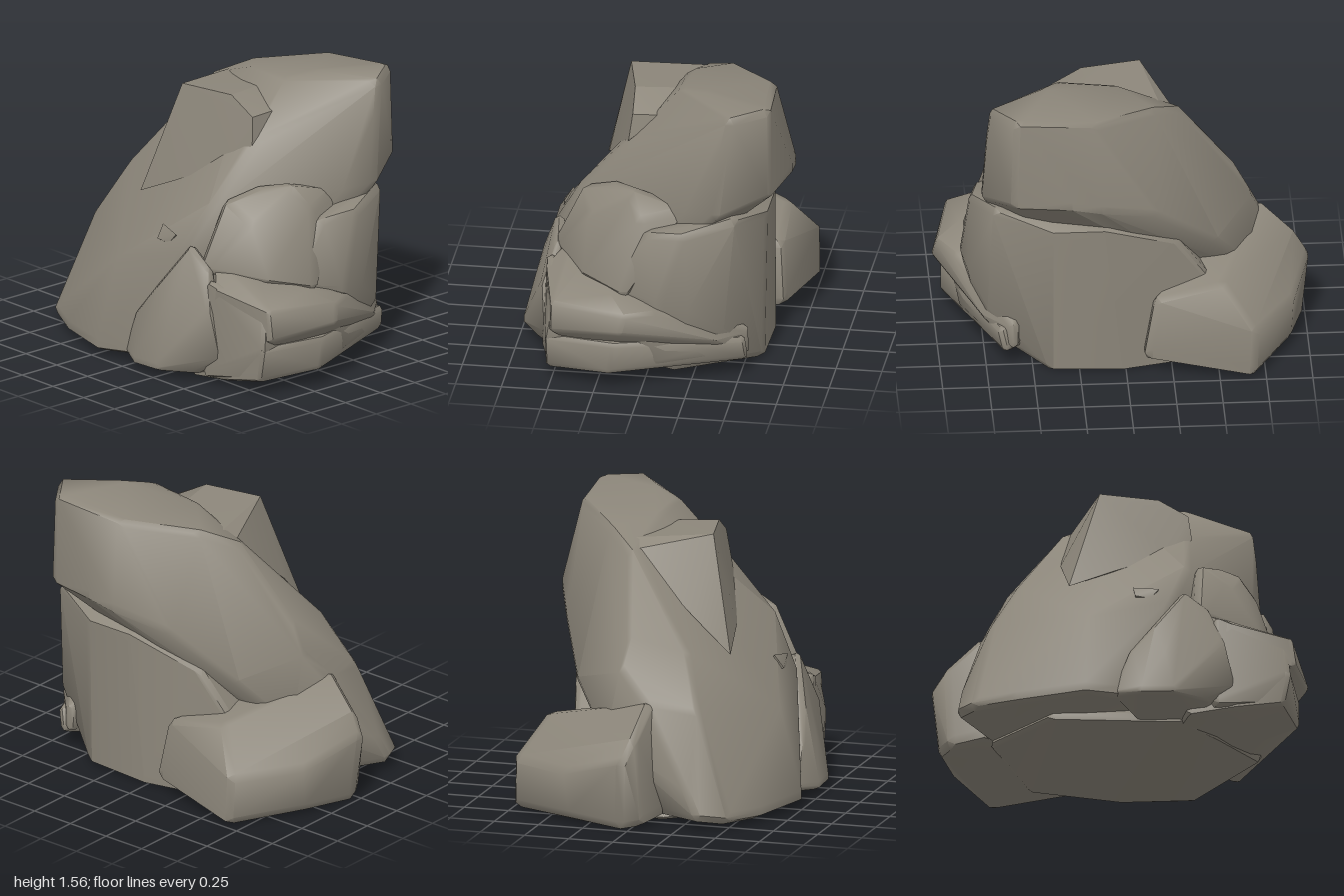
import * as THREE from 'three';
import { ConvexGeometry } from 'three/addons/geometries/ConvexGeometry.js';
import { toCreasedNormals } from 'three/addons/utils/BufferGeometryUtils.js';

const stone = new THREE.MeshStandardMaterial({ color: 0x8c867a });
stone.name = 'grey stone';

// A rock: convex hull of a few corner points, each worn round by radius r.
function rock(name, corners, r = 0.04, crease = 0.75) {
  const pts = corners.map(c => new THREE.Vector3(...c));
  const centre = new THREE.Vector3();
  pts.forEach(p => centre.addScaledVector(p, 1 / pts.length));
  const cloud = [];
  for (const p of pts) {
    if (r === 0) { cloud.push(p); continue; }
    const inner = p.clone().addScaledVector(centre.clone().sub(p).normalize(), r);
    const ball = new THREE.IcosahedronGeometry(r, 0).attributes.position;
    for (let i = 0; i < ball.count; i++) {
      const q = new THREE.Vector3().fromBufferAttribute(ball, i).add(inner);
      q.y = Math.max(q.y, 0);
      cloud.push(q);
    }
  }
  const mesh = new THREE.Mesh(toCreasedNormals(new ConvexGeometry(cloud), crease), stone);
  mesh.name = name;
  return mesh;
}

export function createModel() {
  const group = new THREE.Group();
  group.name = 'rockCluster';

  // Great leaning slab
  group.add(rock('leaningSlab', [
    [-0.14, 1.47, -0.36], [0.05, 1.51, -0.17], [0.36, 1.53, -0.16], [0.45, 1.56, -0.3],
    [0.72, 1.54, -0.47], [0.74, 1.38, -0.44], [0.6, 1.55, -0.64], [0.2, 1.52, -0.62],
    [-0.3, 1.39, -0.2], [0.15, 1.07, -0.73], [0.32, 1.1, -0.73], [0.62, 1.08, -0.65],
    [0.77, 1.0, -0.4], [0.72, 0.98, -0.24], [0.4, 1.26, 0.09], [0.36, 0.92, 0.41],
    [0.25, 0.62, 0.57], [-0.15, 0.98, -0.62], [-0.5, 0.7, -0.44], [-0.7, 0.4, -0.2],
    [-0.63, 0.95, -0.1], [-0.71, 0.8, -0.12], [-0.76, 0.62, 0.05], [-0.86, 0.2, 0.3],
    [-0.58, 0.87, 0.2], [-0.72, 0.58, 0.3],
    [-0.88, 0.06, 0.37], [-0.81, 0.04, 0.5], [-0.6, 0.03, 0.61], [-0.22, 0.04, 0.73],
    [0.0, 0.05, 0.66], [-0.2, 0.5, 0.61], [0.3, 0.1, 0.4], [-0.7, 0.04, 0.1],
  ], 0.045));

  // Block under the slab
  group.add(rock('coreBlock', [
    [0.87, 0.5, -0.08], [0.82, 0.88, -0.2], [0.78, 0.86, -0.02], [0.7, 0.94, -0.47],
    [0.4, 0.87, -0.6], [0.1, 0.87, -0.6], [-0.3, 0.72, -0.5], [-0.55, 0.35, -0.43],
    [0.84, 0.45, -0.22], [0.74, 0.3, -0.42], [0.76, 0.06, -0.15], [0.4, 0.01, -0.59],
    [0.0, 0.0, -0.59], [-0.5, 0.0, -0.45], [-0.7, 0.0, 0.1], [-0.4, 0.0, 0.45],
    [0.3, 0.0, 0.45], [0.5, 0.02, 0.25], [0.78, 0.55, 0.2],
  ], 0.045));

  // Shoulder lump beside the slab
  group.add(rock('shoulderLump', [
    [0.62, 1.04, 0.06], [0.5, 1.03, 0.2], [0.41, 0.95, 0.38], [0.72, 0.92, 0.0],
    [0.55, 0.86, 0.36], [0.4, 0.6, 0.53], [0.72, 0.55, 0.34], [0.83, 0.5, 0.1],
    [0.64, 0.95, -0.2], [0.3, 0.8, 0.1], [0.3, 0.4, 0.2],
  ], 0.05, 0.9));

  // Low boulder at the back
  group.add(rock('backBoulder', [
    [-1.01, 0.38, 0.0], [-0.94, 0.48, 0.03], [-0.75, 0.65, 0.06], [-0.6, 0.56, -0.35],
    [-0.5, 0.49, -0.6], [-0.67, 0.26, -0.74], [-0.15, 0.4, -0.6], [-0.1, 0.1, -0.62],
    [-0.66, 0.03, -0.74], [-0.92, 0.27, -0.38], [-0.9, 0.03, -0.34], [-0.97, 0.02, -0.02],
    [-0.92, 0.03, 0.06], [-0.75, 0.05, 0.12], [-0.2, 0.03, -0.2],
  ], 0.05));

  // Split ledge at the side: a solid body ending in upper and lower tongues
  group.add(rock('ledgeBody', [
    [0.5, 0.56, 0.57], [0.87, 0.44, 0.5], [0.89, 0.26, 0.53], [0.85, 0.1, 0.52],
    [0.5, 0.05, 0.6], [0.92, 0.4, 0.04], [0.86, 0.15, -0.1], [0.66, 0.2, -0.5],
    [0.64, 0.13, -0.52], [0.4, 0.3, 0.2], [0.35, 0.03, 0.3],
  ], 0.03));
  group.add(rock('upperLedge', [
    [0.42, 0.63, 0.46], [0.55, 0.62, 0.34], [0.86, 0.52, 0.18], [0.99, 0.45, 0.08],
    [1.01, 0.37, 0.1], [0.9, 0.47, 0.5], [0.92, 0.33, 0.5], [0.55, 0.53, 0.57],
    [0.89, 0.44, -0.08], [0.74, 0.24, -0.4], [0.6, 0.24, -0.54], [0.6, 0.13, -0.54],
    [0.86, 0.25, 0.42], [0.9, 0.26, 0.1], [0.5, 0.2, 0.58], [0.3, 0.2, 0.2],
  ], 0.03));
  group.add(rock('lowerLedge', [
    [0.96, 0.26, 0.15], [0.96, 0.12, 0.18], [0.89, 0.26, 0.53], [0.86, 0.1, 0.53],
    [0.81, 0.24, -0.22], [0.66, 0.21, -0.53], [0.64, 0.12, -0.54], [0.72, 0.04, 0.1],
    [0.6, 0.05, 0.57], [0.35, 0.01, 0.55], [0.3, 0.25, 0.5], [0.2, 0.02, 0.0], [0.4, 0.25, -0.3],
  ], 0.03));

  // Bulging boulder at the front foot
  group.add(rock('frontBoulder', [
    [0.33, 0.72, 0.53], [0.45, 0.63, 0.52], [0.15, 0.48, 0.62], [0.02, 0.3, 0.66],
    [-0.06, 0.06, 0.66], [0.07, 0.04, 0.73], [0.26, 0.04, 0.73], [0.46, 0.05, 0.61],
    [0.2, 0.3, 0.68], [0.54, 0.42, 0.58], [0.6, 0.15, 0.56], [0.1, 0.01, 0.4], [0.4, 0.02, 0.35],
  ], 0.03));

  // Small spur above the front boulder
  group.add(rock('smallSpur', [
    [0.05, 0.77, 0.5], [0.19, 0.75, 0.53], [0.06, 0.7, 0.55], [0.14, 0.69, 0.54], [0.1, 0.6, 0.4],
  ], 0));

  // Sharp chip set into the slope
  group.add(rock('slopeChip', [
    [-0.12, 1.46, 0.21], [0.2, 1.46, 0.14], [0.36, 1.37, 0.13], [0.38, 1.22, 0.15],
    [-0.29, 0.84, 0.36], [-0.33, 1.05, 0.16], [-0.28, 1.38, -0.2], [-0.2, 1.43, -0.21],
    [0.15, 1.45, -0.14], [0.37, 1.38, -0.03], [-0.05, 0.95, 0.32], [0.25, 1.1, 0.22],
  ], 0, 0.3));

  return group;
}
